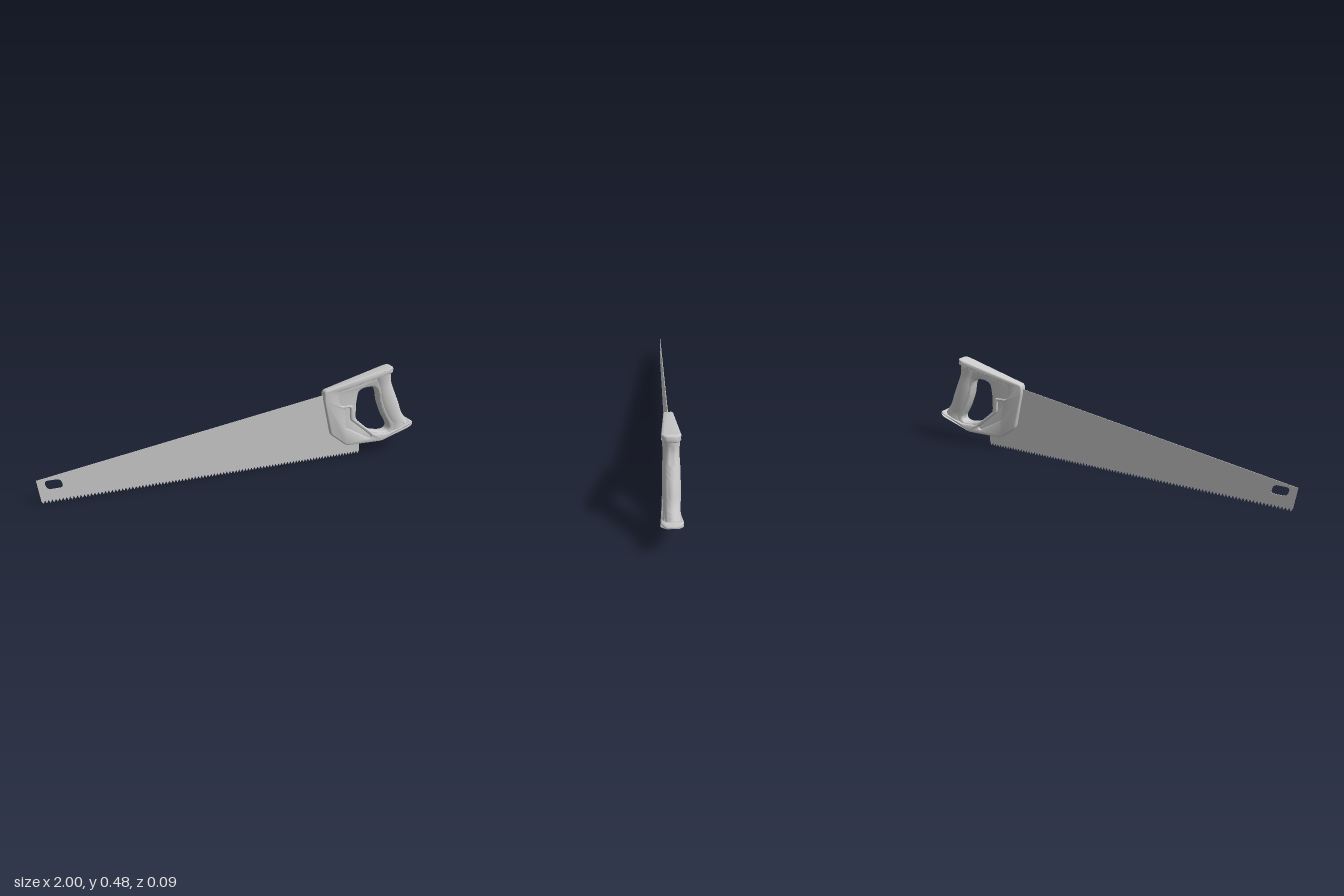
import * as THREE from 'three';
import { toCreasedNormals } from 'three/addons/utils/BufferGeometryUtils.js';

const material = new THREE.MeshStandardMaterial({ color: 0xcccccc });

// Closed polygon with its corners rounded by radius r
function rounded(points, r, Type = THREE.Shape) {
  const path = new Type();
  const pts = points.map(p => new THREE.Vector2(...p));
  const n = pts.length;
  pts.forEach((p, i) => {
    const toward = q => {
      const d = q.clone().sub(p), len = d.length();
      return p.clone().addScaledVector(d, Math.min(r, len * 0.45) / len);
    };
    const a = toward(pts[(i + n - 1) % n]), b = toward(pts[(i + 1) % n]);
    if (i === 0) path.moveTo(a.x, a.y); else path.lineTo(a.x, a.y);
    path.quadraticCurveTo(p.x, p.y, b.x, b.y);
  });
  path.closePath();
  return path;
}

// Holes are listed clockwise and must wind the other way
const hole = (points, r) => rounded([...points].reverse(), r, THREE.Path);

// The handle thickens toward the back; the ends of both rails are rounded in plan
function halfThickness(x, y) {
  const end = y > 0.36 ? 0.866 : 1.008;
  const t = THREE.MathUtils.clamp((x - end + 0.045) / 0.045, 0, 0.95);
  return (0.021 + 0.053 * (x - 0.467)) * Math.sqrt(1 - t * t);
}

function taperedSlab(name, shape, thickness, bevel) {
  let geo = new THREE.ExtrudeGeometry(shape, {
    depth: 1.4, bevelThickness: 0.3, bevelSize: bevel, bevelOffset: -bevel,
    bevelSegments: 3, curveSegments: 5,
  });
  const pos = geo.attributes.position;
  for (let i = 0; i < pos.count; i++) {
    pos.setZ(i, (pos.getZ(i) - 0.7) * halfThickness(pos.getX(i), pos.getY(i)) * thickness);
  }
  geo = toCreasedNormals(geo, 0.6);
  const mesh = new THREE.Mesh(geo, material);
  mesh.name = name;
  return mesh;
}

// Toothed steel blade with a hanging hole near the tip
function makeBlade() {
  const shape = new THREE.Shape();
  shape.moveTo(-1, 0.123);
  shape.lineTo(-0.985, 0.016);
  const teeth = 100, x0 = -0.985, pitch = (0.695 - x0) / teeth;
  for (let i = 0; i < teeth; i++) {
    shape.lineTo(x0 + (i + 0.5) * pitch, 0);
    shape.lineTo(x0 + (i + 1) * pitch, 0.016);
  }
  [[0.695, 0.1], [0.6, 0.1], [0.54, 0.36], [0.47, 0.358]].forEach(p => shape.lineTo(...p));
  shape.closePath();
  shape.holes.push(hole(
    [[-0.965, 0.116], [-0.888, 0.116], [-0.876, 0.07], [-0.953, 0.07]], 0.02));
  const geo = new THREE.ExtrudeGeometry(shape, { depth: 0.003, bevelEnabled: false, curveSegments: 6 });
  geo.translate(0, 0, -0.0015);
  const mesh = new THREE.Mesh(geo, material);
  mesh.name = 'blade';
  return mesh;
}

// Raised cheek plate with the top and bottom rails, pierced by a bent groove
function makeFrame() {
  const shape = rounded([
    [0.466, 0.382], [0.81, 0.467], [0.835, 0.473], [0.857, 0.478], [0.864, 0.446],
    [0.84, 0.441], [0.8, 0.431], [0.542, 0.372],
    [0.552, 0.305], [0.567, 0.292], [0.634, 0.29], [0.642, 0.215], [0.765, 0.112],
    [0.85, 0.108], [0.945, 0.143], [0.97, 0.152], [0.99, 0.161], [1.006, 0.141],
    [0.98, 0.13], [0.95, 0.118], [0.81, 0.067], [0.606, 0.067],
    [0.513, 0.138], [0.466, 0.34],
  ], 0.016);
  shape.holes.push(hole([
    [0.58, 0.278], [0.614, 0.278], [0.62, 0.21], [0.748, 0.105], [0.735, 0.092], [0.598, 0.168],
  ], 0.01));
  return taperedSlab('handleFrame', shape, 1, 0.006);
}

// Thinner core seen in the recesses and around the finger hole
function makeCore() {
  const shape = rounded([
    [0.48, 0.37], [0.84, 0.46], [0.835, 0.41], [0.885, 0.28], [0.93, 0.18],
    [0.965, 0.14], [0.81, 0.077], [0.61, 0.077], [0.525, 0.145], [0.48, 0.34],
  ], 0.012);
  shape.holes.push(hole([
    [0.652, 0.29], [0.66, 0.362], [0.695, 0.378], [0.755, 0.378], [0.777, 0.345],
    [0.79, 0.28], [0.82, 0.21], [0.862, 0.14], [0.85, 0.117], [0.81, 0.114],
    [0.745, 0.13], [0.655, 0.207],
  ], 0.02));
  return taperedSlab('handleCore', shape, 0.75, 0.012);
}

// Rounded grip lofted through oval sections: front x, y, back x, y, half width
function makeGrip() {
  const sections = [
    [0.745, 0.425, 0.855, 0.453, 0.038], [0.767, 0.365, 0.857, 0.4, 0.034],
    [0.783, 0.3, 0.884, 0.331, 0.037], [0.804, 0.24, 0.911, 0.272, 0.038],
    [0.834, 0.182, 0.937, 0.208, 0.037], [0.855, 0.144, 0.962, 0.173, 0.036],
    [0.855, 0.112, 0.98, 0.145, 0.039],
  ];
  const curve = f => new THREE.CatmullRomCurve3(sections.map(f));
  const front = curve(s => new THREE.Vector3(s[0], s[1], s[4]));
  const back = curve(s => new THREE.Vector3(s[2], s[3], s[4]));
  const rows = 30, sides = 28, verts = [], index = [];
  for (let i = 0; i <= rows; i++) {
    const f = front.getPoint(i / rows), b = back.getPoint(i / rows);
    for (let j = 0; j < sides; j++) {
      const a = j / sides * Math.PI * 2;
      const u = 0.5 + 0.5 * Math.cos(a), s = Math.sin(a);
      verts.push(f.x + (b.x - f.x) * u, f.y + (b.y - f.y) * u,
        f.z * Math.sign(s) * Math.abs(s) ** 0.85);
    }
  }
  for (let i = 0; i < rows; i++) {
    for (let j = 0; j < sides; j++) {
      const p = i * sides + j, q = i * sides + (j + 1) % sides;
      index.push(p, q, p + sides, q, q + sides, p + sides);
    }
  }
  // Close both ends with fans
  const last = rows * sides;
  for (let j = 1; j < sides - 1; j++) {
    index.push(0, j + 1, j, last, last + j, last + j + 1);
  }
  const geo = new THREE.BufferGeometry();
  geo.setAttribute('position', new THREE.Float32BufferAttribute(verts, 3));
  geo.setIndex(index);
  const mesh = new THREE.Mesh(toCreasedNormals(geo, 0.8), material);
  mesh.name = 'grip';
  return mesh;
}

export function createModel() {
  const model = new THREE.Group();
  model.name = 'handSaw';
  const handle = new THREE.Group();
  handle.name = 'handle';
  handle.add(makeFrame(), makeCore(), makeGrip());
  model.add(makeBlade(), handle);
  return model;
}
